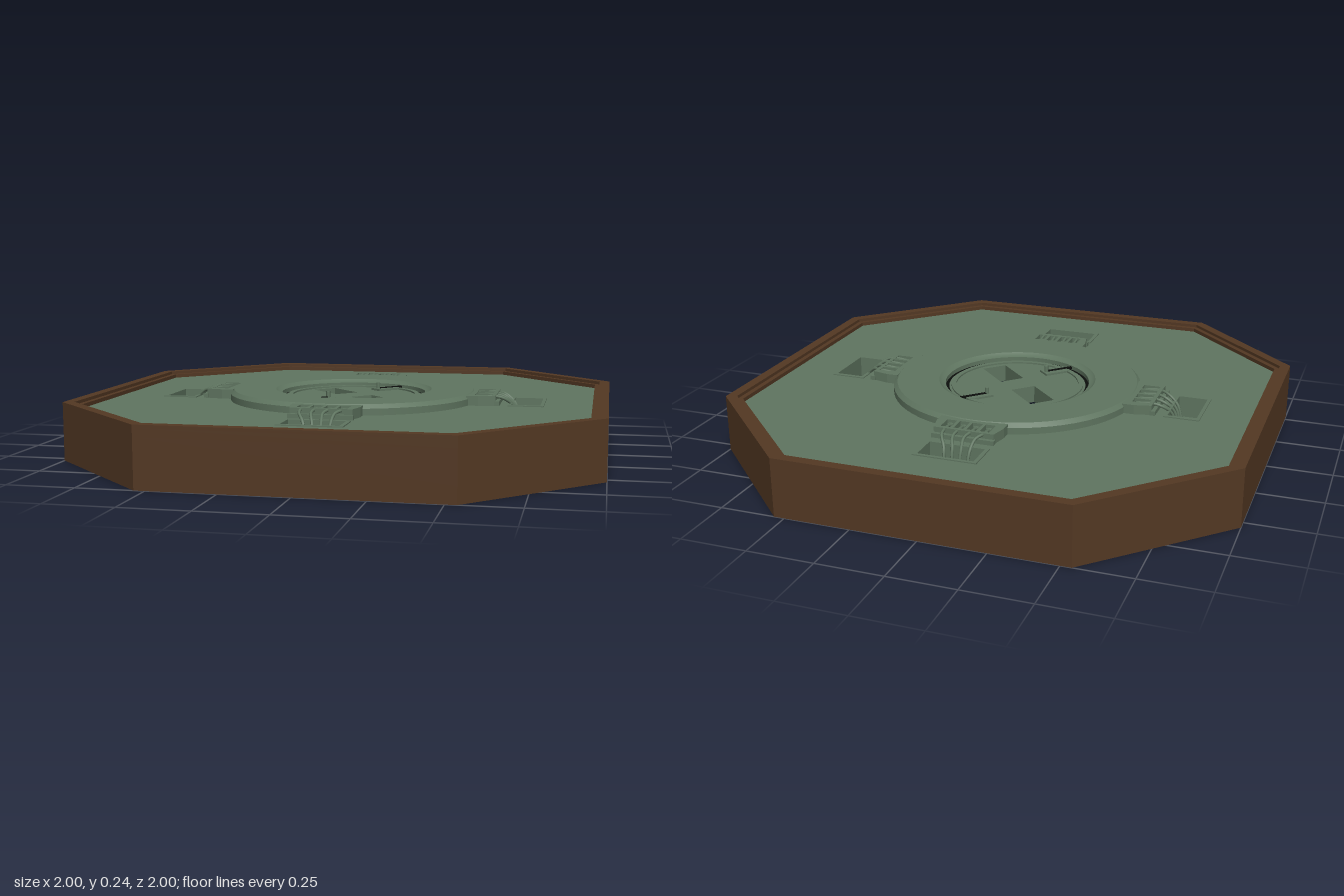
import * as THREE from 'three';
import { toCreasedNormals } from 'three/addons/utils/BufferGeometryUtils.js';

const material = (name, color) => Object.assign(new THREE.MeshStandardMaterial({ color }), { name });

export function createModel() {
  const green = material('dull green', 0x5f7560);
  const brown = material('dark brown', 0x533823);
  const black = material('black', 0x0c0e0c);
  const model = new THREE.Group();
  model.name = 'octagonalPlatform';

  const add = (parent, name, geometry, mat) => {
    const mesh = new THREE.Mesh(geometry, mat);
    mesh.name = name;
    parent.add(mesh);
    return mesh;
  };
  // Outlines are given as x, z pairs
  const points = (list) => list.map(([x, z]) => new THREE.Vector2(x, z));
  const rect = (x0, x1, z0, z1) => points([[x0, z0], [x1, z0], [x1, z1], [x0, z1]]);
  const octagon = (r, c) => points([[r, -c], [r, c], [c, r], [-c, r], [-r, c], [-r, -c], [-c, -r], [c, -r]]);
  const circle = (r) => new THREE.Path().absarc(0, 0, r, 0, Math.PI * 2).getPoints(48).slice(0, -1);
  // Flat slab with holes between two heights
  const slab = (outline, holes, bottom, top) => {
    const shape = new THREE.Shape(outline);
    shape.holes = holes.map((h) => new THREE.Path(h));
    const g = new THREE.ExtrudeGeometry(shape, { depth: top - bottom, bevelEnabled: false, curveSegments: 1 });
    return g.rotateX(Math.PI / 2).translate(0, top, 0);
  };
  const box = (x0, x1, y0, y1, z0, z1) =>
    new THREE.BoxGeometry(x1 - x0, y1 - y0, z1 - z0).translate((x0 + x1) / 2, (y0 + y1) / 2, (z0 + z1) / 2);
  const turned = (profile) => toCreasedNormals(
    new THREE.LatheGeometry(points([...profile, profile[0]]), 64), 0.5);

  // Stepped octagonal frame, open below
  const outer = octagon(1, 0.54);
  const frame = new THREE.Group();
  frame.name = 'frame';
  model.add(frame);
  for (const [hole, c, bottom, top] of [
    [0.94, 0.515, 0, 0.06], [0.925, 0.505, 0.06, 0.18],
    [0.94, 0.515, 0.18, 0.21], [0.96, 0.523, 0.21, 0.222]]) {
    add(frame, 'frameLayer', slab(outer, [octagon(hole, c)], bottom, top), brown);
  }

  // Deck with openings for the ring and the four pockets
  const pocketHoles = [rect(0.63, 0.75, -0.11, 0.11), rect(-0.75, -0.63, -0.11, 0.11),
    rect(-0.11, 0.11, 0.63, 0.75), rect(-0.11, 0.11, -0.75, -0.63)];
  add(model, 'deck', slab(octagon(0.945, 0.517), [circle(0.475), ...pocketHoles], 0.178, 0.195), green);

  // Raised hollow ring with a chamfered inner collar
  add(model, 'raisedRing', turned([
    [0.475, 0.178], [0.49, 0.178], [0.49, 0.22], [0.475, 0.235], [0.31, 0.235], [0.298, 0.225],
    [0.285, 0.222], [0.285, 0.13], [0.305, 0.13], [0.305, 0.21], [0.475, 0.21]]), green);
  add(model, 'ringGap', slab(circle(0.286), [circle(0.27)], 0.14, 0.205), black);

  // Centre disc, turned by 45 degrees
  const centre = new THREE.Group();
  centre.name = 'centreDisc';
  centre.rotation.y = Math.PI / 4;
  model.add(centre);
  const windows = [-1, 1].map((s) => rect(-0.05, 0.05, s * 0.136 - 0.085, s * 0.136 + 0.085));
  add(centre, 'disc', slab(circle(0.271), windows, 0.18, 0.208), green);
  add(centre, 'discRim', turned([[0.243, 0.2], [0.262, 0.2], [0.262, 0.214], [0.243, 0.214]]), green);
  for (const turn of [0, Math.PI]) {
    const half = new THREE.Group();
    half.name = 'discHalf';
    half.rotation.y = turn;
    centre.add(half);
    // Sleeve hanging under the window
    add(half, 'windowSleeve', slab(rect(-0.056, 0.056, 0.045, 0.227),
      [rect(-0.05, 0.05, 0.051, 0.221)], 0.14, 0.2), green);
    // Slotted pad with its pin
    add(half, 'slotPad', box(0.145, 0.25, 0.2, 0.216, -0.09, -0.032), green);
    add(half, 'slot', box(0.155, 0.275, 0.21, 0.219, -0.068, -0.056), black);
    add(half, 'slotUnderside', box(0.16, 0.275, 0.15, 0.185, -0.068, -0.056), black);
    add(half, 'pin', new THREE.CylinderGeometry(0.008, 0.008, 0.1, 12).translate(0.16, 0.19, -0.062), green);
  }

  // Four connectors: socket tray, wires and sunken pocket
  for (let i = 0; i < 4; i++) {
    const connector = new THREE.Group();
    connector.name = 'connector';
    connector.rotation.y = i * Math.PI / 2;
    model.add(connector);
    const rows = [-0.075, -0.025, 0.025, 0.075];

    const trayOutline = points([[0.465, -0.13], [0.51, -0.13], [0.575, -0.115],
      [0.575, 0.115], [0.51, 0.13], [0.465, 0.13]]);
    add(connector, 'trayBase', slab(trayOutline, [], 0.175, 0.212), green);
    add(connector, 'trayTop', slab(trayOutline,
      rows.map((z) => rect(0.495, 0.56, z - 0.019, z + 0.019)), 0.212, 0.232), green);
    add(connector, 'trayLip', box(0.57, 0.59, 0.19, 0.212, -0.12, 0.12), green);

    for (const z of rows) {
      add(connector, 'socket', new THREE.CylinderGeometry(0.011, 0.011, 0.014, 12)
        .translate(0.515, 0.218, z), green);
      add(connector, 'trayRib', box(0.48, 0.57, 0.15, 0.18, z - 0.01, z + 0.01), green);
      const path = new THREE.CatmullRomCurve3([
        new THREE.Vector3(0.515, 0.222, z), new THREE.Vector3(0.565, 0.226, z),
        new THREE.Vector3(0.605, 0.218, z * 0.85 + 0.008), new THREE.Vector3(0.64, 0.185, z * 0.65),
        new THREE.Vector3(0.66, 0.12, z * 0.6)]);
      add(connector, 'wire', new THREE.TubeGeometry(path, 16, 0.006, 8), green);
    }

    add(connector, 'pocketWalls', slab(rect(0.622, 0.758, -0.12, 0.12),
      [rect(0.635, 0.745, -0.105, 0.105)], 0.1, 0.199), green);
    add(connector, 'pocketFloor', box(0.63, 0.75, 0.1, 0.112, -0.11, 0.11), green);
    add(connector, 'pocketPlate', box(0.65, 0.727, 0.112, 0.12, -0.095, 0.095), i === 0 ? black : green);
  }
  return model;
}
